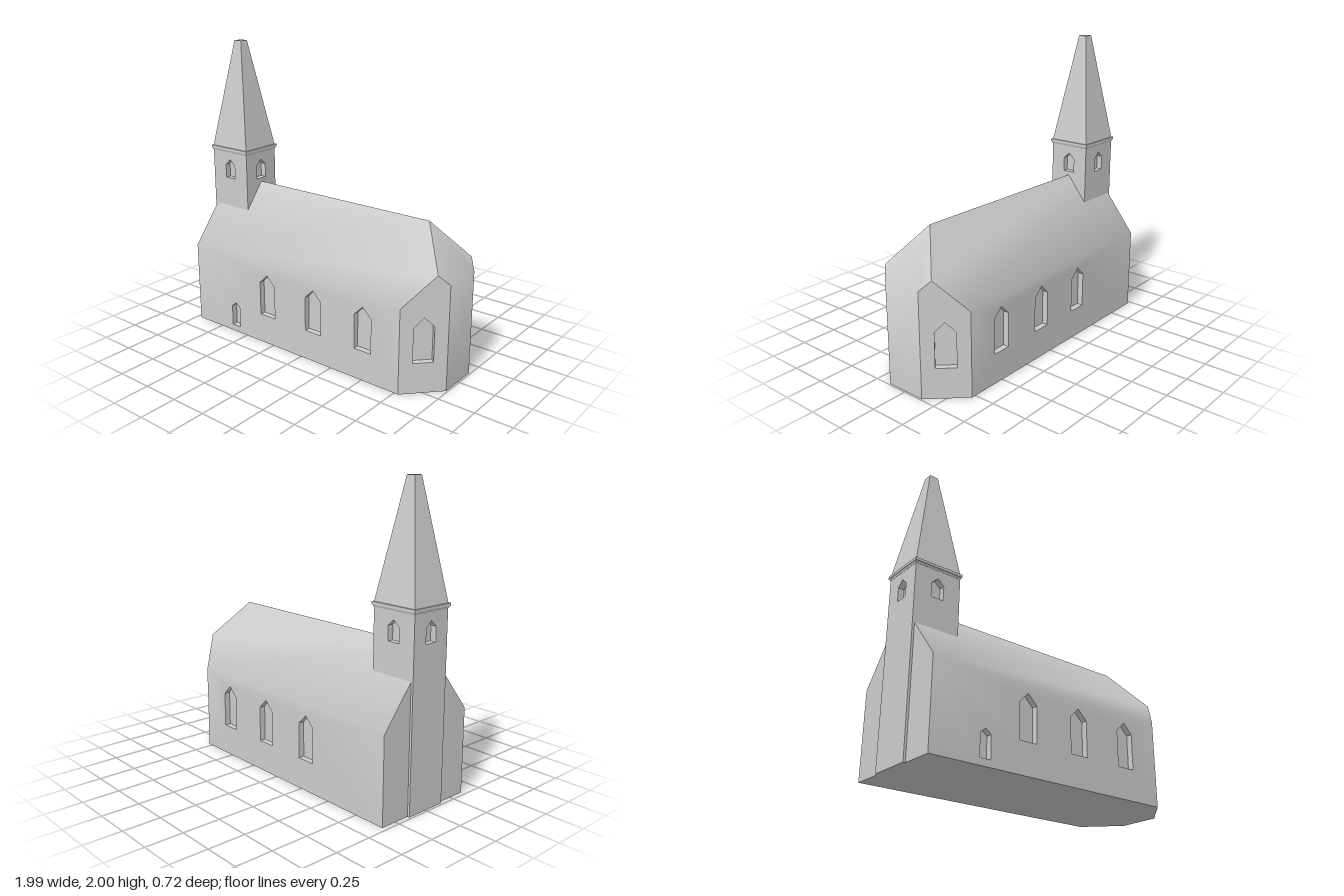
import * as THREE from 'three';
import { toCreasedNormals } from 'three/addons/utils/BufferGeometryUtils.js';

const CREASE = THREE.MathUtils.degToRad(42); // eaves stay soft, wall corners stay sharp
const RECESS = 0.04;

// Flat convex polygon, corners counter-clockwise from outside
function addFace(out, pts) {
  for (let i = 1; i < pts.length - 1; i++) out.push(...pts[0], ...pts[i], ...pts[i + 1]);
}

// Pointed window outline: centre, half width, sill, shoulder, apex
function arch(c, w, sill, shoulder, apex) {
  return [[c - w, sill], [c + w, sill], [c + w, shoulder], [c, apex], [c - w, shoulder]];
}

// Vertical wall from ground point a to b, with recessed windows
function addWall(out, a, b, outline, windows = []) {
  const len = Math.hypot(b[0] - a[0], b[1] - a[1]);
  const dx = (b[0] - a[0]) / len, dz = (b[1] - a[1]) / len;
  const at = ([u, y], depth = 0) => [a[0] + u * dx + depth * dz, y, a[1] + u * dz - depth * dx];
  const v2 = (loop) => loop.map(([u, y]) => new THREE.Vector2(u, y));
  const contour = v2(outline);
  const holes = windows.map((w) => v2(w).reverse());
  const all = [contour, ...holes].flat();
  for (const t of THREE.ShapeUtils.triangulateShape(contour, holes)) {
    for (const i of t) out.push(...at([all[i].x, all[i].y]));
  }
  for (const w of windows) {
    w.forEach((p, i) => {
      const q = w[(i + 1) % w.length];
      addFace(out, [at(p), at(q), at(q, RECESS), at(p, RECESS)]);
    });
    addFace(out, w.map((p) => at(p, RECESS)));
  }
}

function toMesh(name, positions, material) {
  const g = new THREE.BufferGeometry();
  g.setAttribute('position', new THREE.Float32BufferAttribute(positions, 3));
  const mesh = new THREE.Mesh(toCreasedNormals(g, CREASE), material);
  mesh.name = name;
  return mesh;
}

// Four-sided block whose half sizes change from bottom to top
function taperedBlock(name, x, y0, y1, [bx, bz], [tx, tz], material) {
  const g = new THREE.BoxGeometry(2, 1, 2).toNonIndexed();
  const p = g.attributes.position;
  for (let i = 0; i < p.count; i++) {
    const top = p.getY(i) > 0;
    p.setXYZ(i, x + p.getX(i) * (top ? tx : bx), top ? y1 : y0, p.getZ(i) * (top ? tz : bz));
  }
  g.computeVertexNormals();
  const mesh = new THREE.Mesh(g, material);
  mesh.name = name;
  return mesh;
}

function buildNave(material) {
  const out = [];
  const W = -0.97, S = 0.78, E = 0.99, Z = 0.36, EZ = 0.14;
  const eave = 0.57, ridge = 1.02, endTop = 0.705;
  const peak = [0.935, 0.773, 0.198], ridgeEnd = [0.74, ridge, 0];

  // Long side walls, the front one with a small low window
  const span = S - W;
  const sideOutline = [[0, 0], [span, 0], [span, eave], [0, eave]];
  const centres = [-0.295, 0.105, 0.505];
  const tall = (c) => arch(c, 0.065, 0.205, 0.44, 0.505);
  addWall(out, [W, Z], [S, Z], sideOutline,
    [...centres.map((x) => tall(x - W)), arch(-0.6 - W, 0.037, 0.045, 0.19, 0.22)]);
  addWall(out, [S, -Z], [W, -Z], sideOutline, centres.map((x) => tall(S - x)));

  // Angled walls of the apse
  const L = Math.hypot(E - S, Z - EZ);
  const k = Math.hypot(peak[0] - S, Z - peak[2]);
  addWall(out, [S, Z], [E, EZ],
    [[0, 0], [L, 0], [L, endTop], [k, peak[1]], [0, eave]], [tall(L / 2)]);
  addWall(out, [E, -EZ], [S, -Z],
    [[0, 0], [L, 0], [L, eave], [L - k, peak[1]], [0, endTop]], [tall(L / 2)]);

  // Apse end wall and tower-end gable
  addWall(out, [E, EZ], [E, -EZ], [[0, 0], [2 * EZ, 0], [2 * EZ, endTop], [0, endTop]]);
  addWall(out, [W, -Z], [W, Z], [[0, 0], [2 * Z, 0], [2 * Z, eave], [Z, ridge], [0, eave]]);

  // Roof slopes and hipped end
  const flip = ([x, y, z]) => [x, y, -z];
  const slope = [[W, eave, Z], [S, eave, Z], peak, ridgeEnd, [W, ridge, 0]];
  addFace(out, slope);
  addFace(out, slope.map(flip).reverse());
  addFace(out, [ridgeEnd, peak, [E, endTop, EZ], [E, endTop, -EZ], flip(peak)]);

  // Underside
  addFace(out, [[W, 0, Z], [W, 0, -Z], [S, 0, -Z], [E, 0, -EZ], [E, 0, EZ], [S, 0, Z]]);
  return toMesh('nave', out, material);
}

function buildTower(x, hx, hz, top, material) {
  const out = [];
  const corners = [[x - hx, hz], [x + hx, hz], [x + hx, -hz], [x - hx, -hz]];
  corners.forEach((a, i) => {
    const w = i % 2 ? 2 * hz : 2 * hx;
    addWall(out, a, corners[(i + 1) % 4], [[0, 0], [w, 0], [w, top], [0, top]],
      [arch(w / 2, 0.043, 1.045, 1.14, 1.18)]);
  });
  addFace(out, corners.map(([cx, cz]) => [cx, 0, cz]).reverse());
  return toMesh('tower', out, material);
}

export function createModel() {
  const stone = new THREE.MeshStandardMaterial({ color: 0xcccccc });
  stone.name = 'pale grey stone';
  const x = -0.825;
  const model = new THREE.Group();
  model.name = 'church';
  model.add(
    buildNave(stone),
    buildTower(x, 0.16, 0.145, 1.24, stone),
    taperedBlock('corniceMoulding', x, 1.232, 1.247, [0.161, 0.146], [0.167, 0.152], stone),
    taperedBlock('corniceSlab', x, 1.247, 1.265, [0.17, 0.155], [0.17, 0.155], stone),
    taperedBlock('spire', x, 1.265, 2, [0.16, 0.145], [0.03, 0.03], stone),
  );
  return model;
}
